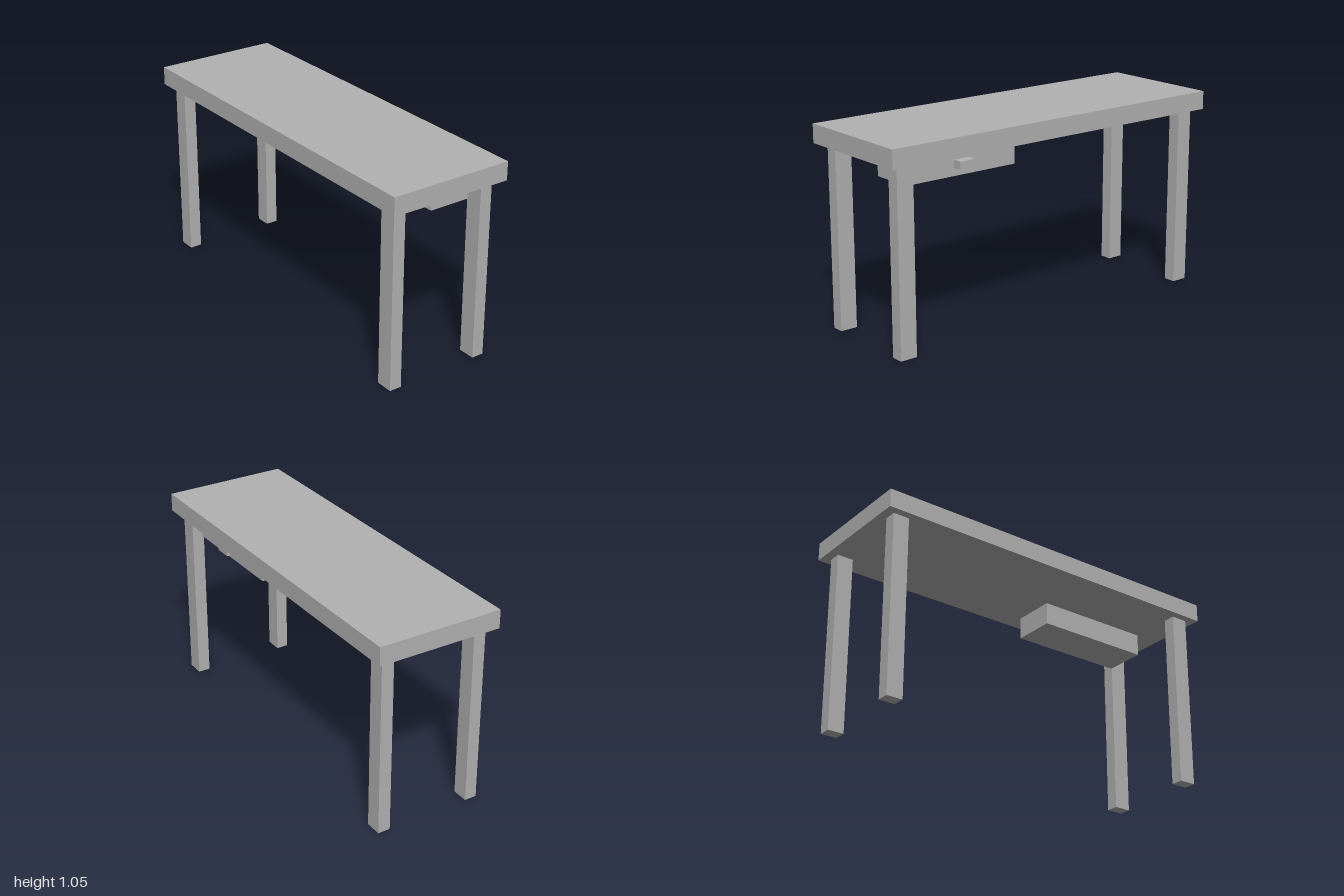
import * as THREE from 'three';

export function createModel() {
  const table = new THREE.Group();
  table.name = 'table';
  const grey = new THREE.MeshStandardMaterial({ color: 0xb2b2b2 });
  grey.name = 'plain grey';

  // Box given by its low and high limits on each axis
  const addBox = (name, [x0, x1], [y0, y1], [z0, z1]) => {
    const mesh = new THREE.Mesh(new THREE.BoxGeometry(x1 - x0, y1 - y0, z1 - z0), grey);
    mesh.position.set((x0 + x1) / 2, (y0 + y1) / 2, (z0 + z1) / 2);
    mesh.name = name;
    table.add(mesh);
  };

  const underside = 0.95;
  addBox('tableTop', [-1, 1], [underside, 1.047], [-0.333, 0.333]);

  // Four square-cut legs; the left pair is slightly wider
  for (const [side, x] of [['Left', [0.855, 0.947]], ['Right', [-0.952, -0.865]]]) {
    addBox(`front${side}Leg`, x, [0, underside], [0.226, 0.291]);
    addBox(`back${side}Leg`, x, [0, underside], [-0.288, -0.222]);
  }

  // Drawer hung under the top, with its pull facing the back
  addBox('drawer', [0.21, 0.856], [0.83, underside], [-0.23, 0]);
  addBox('drawerHandle', [0.488, 0.578], [0.87, 0.91], [-0.28, -0.23]);

  return table;
}
